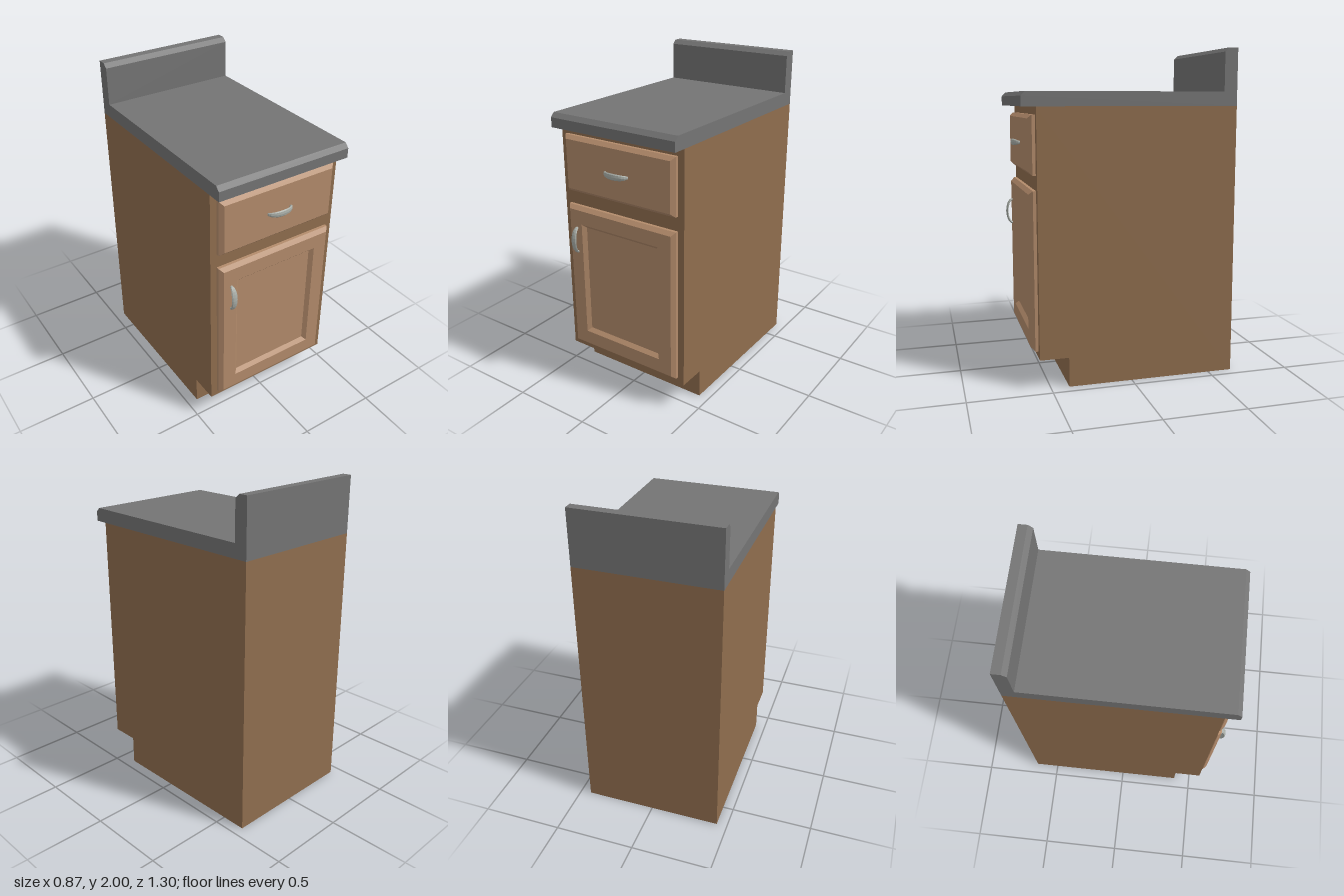
import * as THREE from 'three';

const WIDTH = 0.868;
const FACE = 0.565;   // cabinet front
const FRONT = 0.607;  // door and drawer front

const material = (color) => new THREE.MeshStandardMaterial({ color, flatShading: true });

function addMesh(parent, name, geometry, mat) {
  const mesh = new THREE.Mesh(geometry, mat);
  mesh.name = name;
  parent.add(mesh);
  return mesh;
}

// Side profile given as [z, y] points, extruded across the full width
function sideExtrude(points) {
  const shape = new THREE.Shape(points.map(([z, y]) => new THREE.Vector2(z, y)));
  const geometry = new THREE.ExtrudeGeometry(shape, { depth: WIDTH, bevelEnabled: false });
  return geometry.rotateY(-Math.PI / 2).translate(WIDTH / 2, 0, 0);
}

// Skin a series of equal-length rings and close the last one
function loft(rings) {
  const n = rings[0].length;
  const index = [];
  for (let r = 0; r < rings.length - 1; r++) {
    for (let i = 0; i < n; i++) {
      const j = (i + 1) % n;
      const a = r * n + i, b = r * n + j;
      index.push(a, b, b + n, a, b + n, a + n);
    }
  }
  const last = (rings.length - 1) * n;
  for (let i = 1; i < n - 1; i++) index.push(last, last + i, last + i + 1);
  const geometry = new THREE.BufferGeometry();
  geometry.setAttribute('position', new THREE.Float32BufferAttribute(rings.flat(2), 3));
  geometry.setIndex(index);
  const flat = geometry.toNonIndexed();
  flat.computeVertexNormals();
  return flat;
}

// Rectangular panel built from [inset, z] steps
function panel(width, height, steps) {
  return loft(steps.map(([inset, z]) => {
    const x = width / 2 - inset, y = height / 2 - inset;
    return [[-x, -y, z], [x, -y, z], [x, y, z], [-x, y, z]];
  }));
}

// Arched pull, upright, widest in the middle
function pullGeometry() {
  const rings = [];
  const segments = 12, sides = 8;
  for (let s = 0; s <= segments; s++) {
    const t = (s / segments) * Math.PI;
    const c = Math.cos(t), h = Math.sin(t);
    const halfWidth = 0.009 + 0.011 * h;
    const ring = [];
    for (let i = 0; i < sides; i++) {
      const a = (i / sides) * Math.PI * 2;
      const out = 0.008 * Math.sin(a);
      ring.push([-halfWidth * Math.cos(a), -c * (0.078 + out), h * (0.036 + out)]);
    }
    rings.push(ring);
  }
  return loft(rings);
}

export function createModel() {
  const model = new THREE.Group();
  model.name = 'baseCabinet';
  const wood = material(0x8f6d4e);
  const panelWood = material(0xb38b6b);
  const stone = material(0x747474);
  const metal = material(0xa9aea8);

  // Carcass with toe kick
  addMesh(model, 'cabinetBody', sideExtrude([
    [-0.652, 0], [0.39, 0], [0.39, 0.18], [FACE, 0.18], [FACE, 1.657], [-0.652, 1.657],
  ]), wood);

  // Worktop and upstand with chamfered edges
  addMesh(model, 'countertop', sideExtrude([
    [-0.652, 1.657], [0.65, 1.657], [0.65, 1.716], [0.625, 1.742],
    [-0.57, 1.742], [-0.57, 1.975], [-0.597, 2], [-0.652, 2],
  ]), stone);

  // Bevelled drawer front
  const bevel = [[0, FACE], [0, 0.584], [0.022, FRONT]];
  addMesh(model, 'drawerFront', panel(0.784, 0.346, bevel), panelWood)
    .position.set(0, 1.438, 0);

  // Door with recessed centre
  addMesh(model, 'door', panel(0.784, 0.956, [...bevel, [0.109, FRONT], [0.131, 0.585]]), panelWood)
    .position.set(0, 0.699, 0);

  // Metal pulls
  const pull = pullGeometry();
  addMesh(model, 'doorHandle', pull, metal).position.set(-0.32, 0.96, FRONT);
  const drawerHandle = addMesh(model, 'drawerHandle', pull, metal);
  drawerHandle.position.set(0, 1.438, FRONT);
  drawerHandle.rotation.z = Math.PI / 2;

  return model;
}
